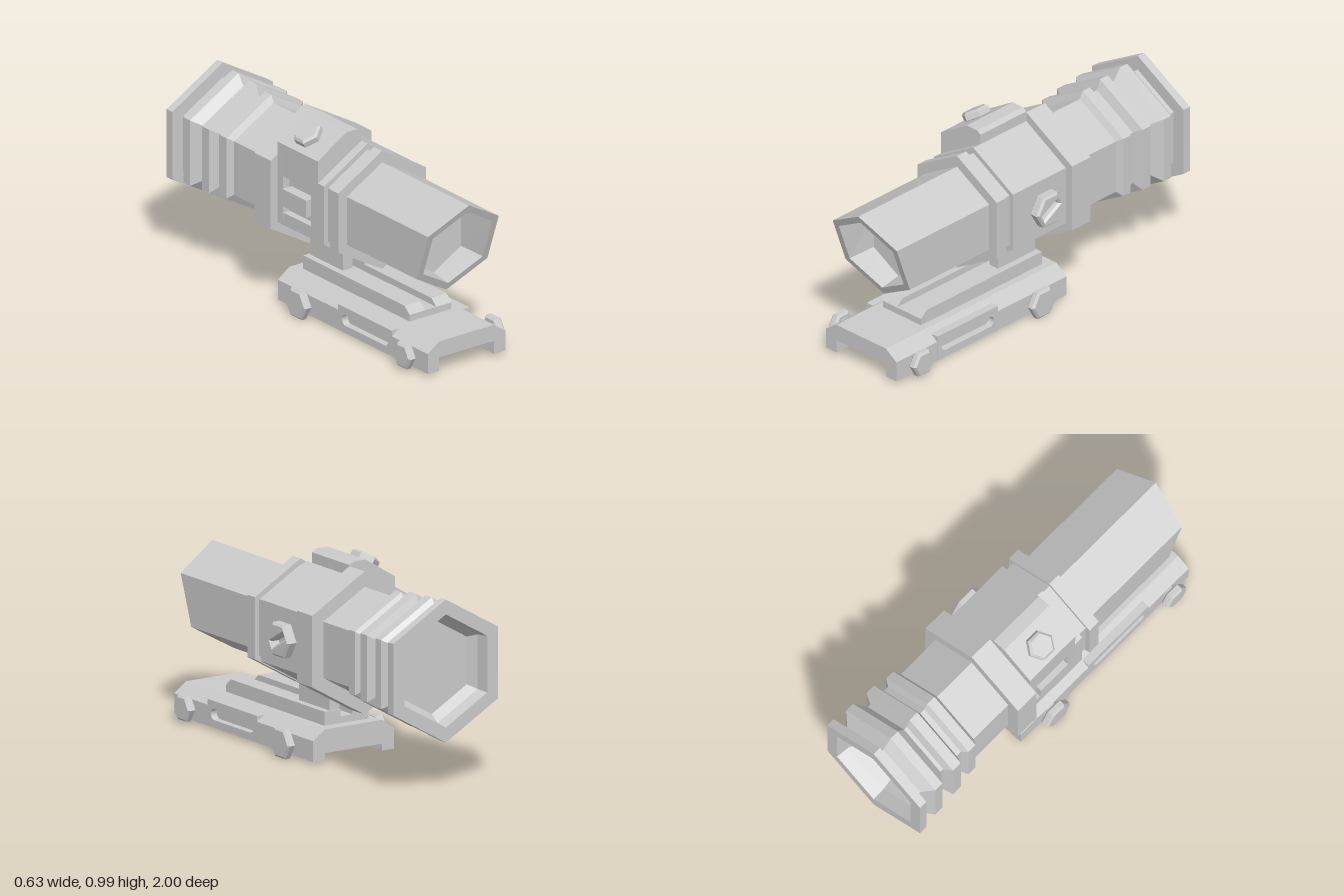
import * as THREE from 'three';

const CX = -0.005, CY = 0.6; // tube axis

export function createModel() {
  const model = new THREE.Group();
  const mat = new THREE.MeshStandardMaterial({ color: 0xcccccc, flatShading: true });

  const add = (name, geo, parent = model) => {
    const mesh = new THREE.Mesh(geo, mat);
    mesh.name = name;
    parent.add(mesh);
    return mesh;
  };
  const shapeOf = (pts) => new THREE.Shape(pts.map(([x, y]) => new THREE.Vector2(x, y)));
  // outline in x/y pushed from z0 to z1
  const prism = (pts, z0, z1) =>
    new THREE.ExtrudeGeometry(shapeOf(pts), { depth: z1 - z0, bevelEnabled: false }).translate(0, 0, z0);
  const box = (x0, x1, y0, y1, z0, z1) =>
    new THREE.BoxGeometry(x1 - x0, y1 - y0, z1 - z0).translate((x0 + x1) / 2, (y0 + y1) / 2, (z0 + z1) / 2);

  // Hexagonal tube: [radius, z] from rear glass, along the outside, to front glass
  const profile = [
    [0, -0.88], [0.24, -0.88], [0.275, -0.93], [0.285, -1],
    [0.36, -1], [0.36, -0.955], [0.283, -0.955], [0.283, -0.93],
    [0.347, -0.88], [0.347, -0.83], [0.283, -0.785], [0.283, -0.765],
    [0.337, -0.745], [0.337, -0.69], [0.283, -0.67], [0.283, -0.64],
    [0.32, -0.62], [0.32, -0.57], [0.283, -0.55], [0.283, -0.305],
    [0.36, -0.305], [0.36, -0.175], [0.25, -0.175], [0.25, 0.195],
    [0.283, 0.195], [0.283, 0.245], [0.313, 0.245], [0.313, 0.31],
    [0.253, 0.31], [0.253, 1], [0.213, 1], [0.194, 0.72], [0, 0.72],
  ].map(([r, z]) => new THREE.Vector2(r, z));
  const tube = new THREE.LatheGeometry(profile, 6).rotateX(Math.PI / 2);
  // slant the front rim backwards towards the bottom
  const pos = tube.attributes.position;
  for (let i = 0; i < pos.count; i++) {
    if (pos.getZ(i) > 0.9) pos.setZ(i, 1 - 0.356 * (0.253 - pos.getY(i)));
  }
  add('scopeTube', tube.translate(CX, CY, 0));

  // Central housing with a raised shoulder and a side window
  const lower = [[-0.274, 0.445], [CX, 0.288], [0.264, 0.445], [0.264, 0.755], [CX, 0.912]];
  const shoulder = [[CX, 0.965], [-0.03, 0.98], [-0.1, 0.98], [-0.275, 0.872]];
  const notch = [[-0.274, 0.7], [-0.235, 0.7], [-0.235, 0.51], [-0.274, 0.51]];
  const housing = new THREE.Group();
  housing.name = 'housing';
  model.add(housing);
  add('housingFront', prism([...lower, [-0.274, 0.755]], 0.145, 0.195), housing);
  add('shoulderFront', prism([...lower, ...shoulder], 0.09, 0.145), housing);
  add('shoulderWindow', prism([...lower, ...shoulder, ...notch], -0.13, 0.09), housing);
  add('shoulderRear', prism([...lower, ...shoulder], -0.175, -0.13), housing);
  add('windowBlock', box(-0.292, -0.23, 0.555, 0.645, -0.115, 0.075), housing);

  // Chamfered hexagonal knob along local +z, optionally with a slot
  const hexKnob = (name, r, height, slotAngle) => {
    const b = 0.011;
    const hex = shapeOf([...Array(6).keys()].map((i) =>
      [r * Math.cos(i * Math.PI / 3), r * Math.sin(i * Math.PI / 3)]));
    if (slotAngle !== undefined) {
      const c = Math.cos(slotAngle), s = Math.sin(slotAngle), l = r * 0.6, w = r * 0.15;
      hex.holes.push(new THREE.Path([[-l, -w], [-l, w], [l, w], [l, -w]].map(([x, y]) =>
        new THREE.Vector2(x * c - y * s, x * s + y * c))));
    }
    const geo = new THREE.ExtrudeGeometry(hex, {
      depth: height - 2 * b, bevelEnabled: true, bevelSize: b, bevelThickness: b,
      bevelOffset: -b, bevelSegments: 1,
    }).translate(0, 0, b);
    return add(name, geo);
  };

  const sideKnob = hexKnob('sideKnob', 0.096, 0.06, Math.PI / 6);
  sideKnob.rotation.y = Math.PI / 2;
  sideKnob.position.set(0.258, 0.6, -0.02);

  const topKnob = hexKnob('topKnob', 0.074, 0.05, Math.PI / 6);
  topKnob.rotation.set(0, -Math.PI / 2, 0);
  topKnob.rotation.order = 'ZYX';
  topKnob.rotation.z = -Math.PI / 3 + 0.03;
  topKnob.position.set(-0.187, 0.918, -0.025);

  // Mount: slab, twin rails with sloped fronts, twin posts
  add('railSlab', box(CX - 0.13, CX + 0.13, 0.16, 0.205, -0.15, 0.695));
  for (const s of [-1, 1]) {
    const rail = prism([[-0.695, 0.205], [-0.655, 0.24], [0.15, 0.24], [0.15, 0.205]], -0.0475, 0.0475);
    add('mountRail', rail.rotateY(Math.PI / 2).translate(CX + s * 0.0825, 0, 0));
    const px = CX + s * 0.065;
    add('mountPost', box(px - 0.03, px + 0.03, 0.235, 0.36, -0.14, 0.12));
  }

  // Base clamp, hollow underneath, closed by a lip at the rear
  const clamp = (w, floor) => {
    const top = 0.12 + (0.24 - w) * 0.714;
    const half = [[0.17, floor], [0.17, 0.015], [w, 0.015], [w, top], [0.17, 0.17]];
    const other = half.map(([x, y]) => [-x, y]).reverse();
    return [...half, ...other].map(([x, y]) => [x + CX, y]);
  };
  add('baseFront', prism(clamp(0.24, 0.085), 0.695, 0.98));
  add('baseMiddle', prism(clamp(0.205, 0.085), 0.27, 0.695));
  add('baseRear', prism(clamp(0.24, 0.085), -0.18, 0.27));
  add('baseLip', prism(clamp(0.24, 0.05), -0.21, -0.18));

  // Slotted side pads and clamp bolts
  const pad = shapeOf([[-0.2125, 0.015], [0.2125, 0.015], [0.2125, 0.15], [-0.2125, 0.15]]);
  const slot = new THREE.Path();
  slot.absarc(0.155, 0.082, 0.028, -Math.PI / 2, Math.PI / 2, false);
  slot.absarc(-0.155, 0.082, 0.028, Math.PI / 2, Math.PI * 1.5, false);
  pad.holes.push(slot);
  for (const s of [-1, 1]) {
    const turn = s * Math.PI / 2;
    const sidePad = add('sidePad',
      new THREE.ExtrudeGeometry(pad, { depth: 0.05, bevelEnabled: false, curveSegments: 6 }));
    sidePad.rotation.y = turn;
    sidePad.position.set(CX + s * 0.191, 0, 0.4825);

    for (const [z, y, r] of [[0.84, 0.08, 0.072], [0, 0.075, 0.085]]) {
      const bolt = hexKnob('clampBolt', r, 0.047);
      bolt.rotation.y = turn;
      bolt.position.set(CX + s * 0.252, y, z);
      const neck = new THREE.CylinderGeometry(r * 0.55, r * 0.55, 0.04, 6).rotateZ(Math.PI / 2);
      add('boltNeck', neck.translate(CX + s * 0.24, y, z));
    }
  }
  return model;
}
